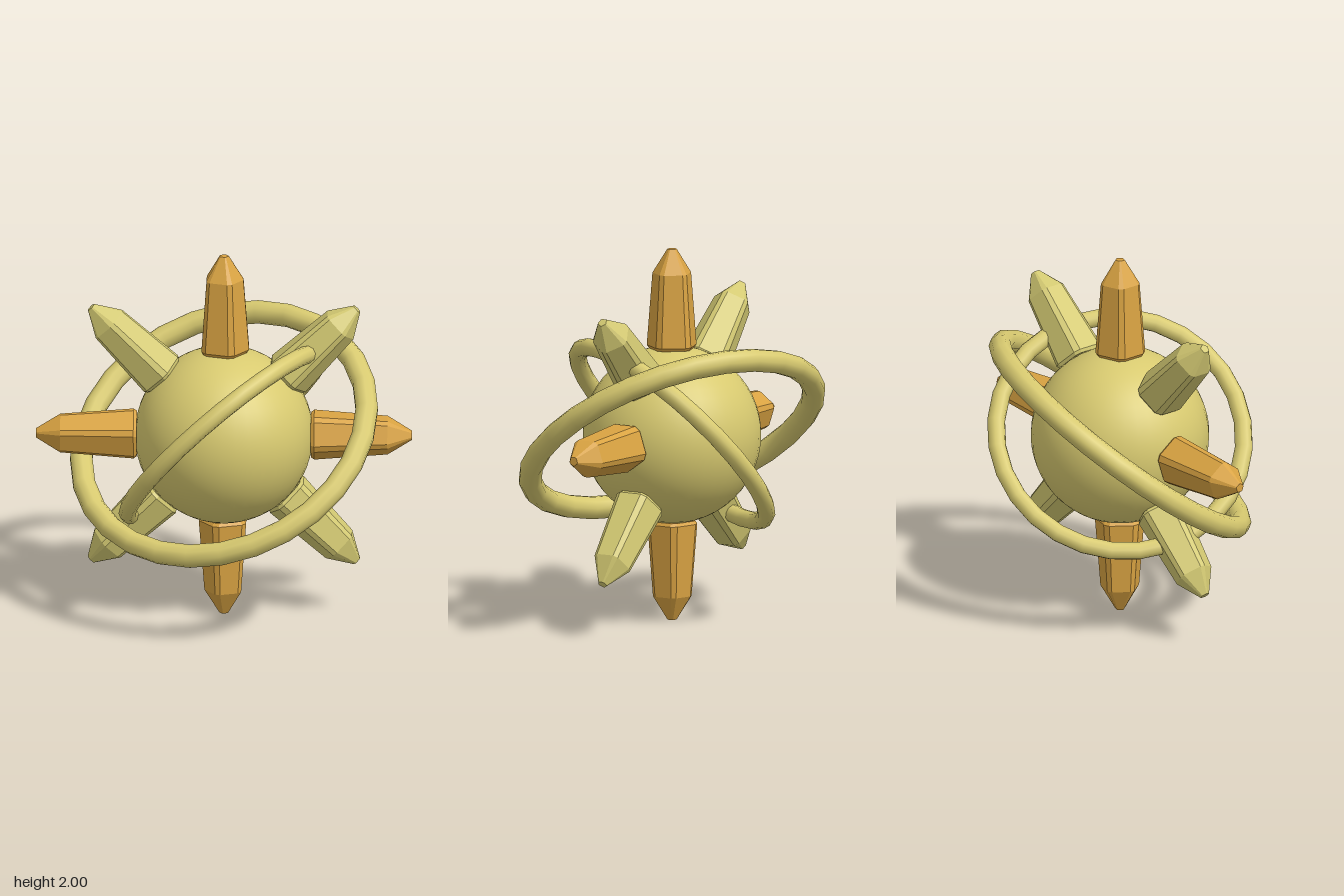
import * as THREE from 'three';

const paint = (name, color) => {
  const m = new THREE.MeshStandardMaterial({ color });
  m.name = name;
  return m;
};

// Five-sided crystal pointing up +y, with chamfered corners, bevelled foot and blunt tip
function crystalGeometry() {
  const outline = [];
  const corner = (i) => new THREE.Vector2(Math.cos(i * Math.PI * 0.4), Math.sin(i * Math.PI * 0.4));
  for (let i = 0; i < 5; i++) {
    outline.push(corner(i).lerp(corner(i - 1), 0.13), corner(i).lerp(corner(i + 1), 0.13));
  }
  // [height from the core centre, radius]
  const sections = [[0.463, 0], [0.463, 0.134], [0.48, 0.147], [0.87, 0.114], [1, 0.027], [1, 0]];
  const n = outline.length, points = [], faces = [];
  sections.forEach(([y, r], s) => {
    outline.forEach((p, i) => {
      points.push(p.x * r, y, p.y * r);
      if (s === sections.length - 1) return;
      const a = s * n + i, b = s * n + (i + 1) % n, c = b + n, d = a + n;
      if (r > 0) faces.push(a, c, b);
      if (sections[s + 1][1] > 0) faces.push(a, d, c);
    });
  });
  const g = new THREE.BufferGeometry();
  g.setAttribute('position', new THREE.Float32BufferAttribute(points, 3));
  g.setIndex(faces);
  const flat = g.toNonIndexed();
  flat.computeVertexNormals();
  return flat;
}

export function createModel() {
  const model = new THREE.Group();
  model.name = 'orbitedCrystalCore';
  const gold = paint('paleGold', 0xd8ca70);
  const straw = paint('straw', 0xd3c972);
  const amber = paint('amber', 0xd9a342);

  const add = (name, geometry, material) => {
    const mesh = new THREE.Mesh(geometry, material);
    mesh.name = name;
    mesh.position.y = 1;
    model.add(mesh);
    return mesh;
  };

  // Round core
  add('core', new THREE.SphereGeometry(0.475, 40, 28), gold);

  // Eight crystals around the core: amber on the axes, straw on the diagonals
  const crystal = crystalGeometry();
  for (let i = 0; i < 8; i++) {
    const main = i % 2 === 0;
    const spike = add(main ? 'axisCrystal' : 'diagonalCrystal', crystal, main ? amber : straw);
    spike.rotation.z = -i * Math.PI / 4;
  }

  // Two tilted orbit rings
  const ring = (name, radius, tube, tiltX, tiltZ) => {
    const g = new THREE.TorusGeometry(radius, tube, 10, 28).rotateX(Math.PI / 2);
    add(name, g, gold).rotation.set(tiltX, 0, tiltZ);
  };
  ring('outerRing', 0.795, 0.062, 0.6, 0.29);
  ring('innerRing', 0.665, 0.048, -0.51, 0.7);

  return model;
}
